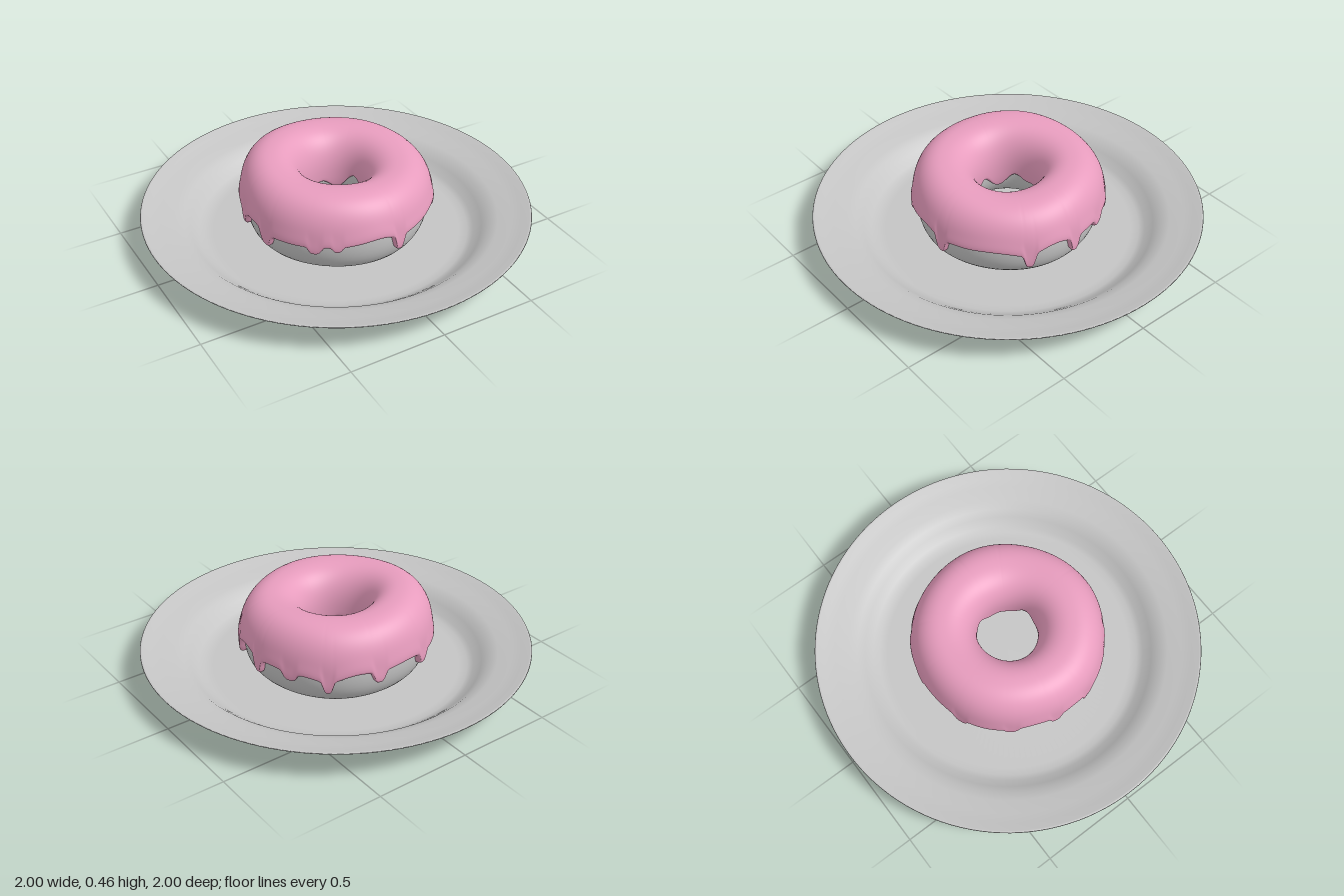
import * as THREE from 'three';

const rad = THREE.MathUtils.degToRad;
const TAU = Math.PI * 2;

// Drips around the outer edge: [angle in degrees from +x towards +z, depth, half width in degrees]
const drips = [
  [-2, 0.09, 3.2], [27, 0.09, 3.4], [81, 0.09, 3.4], [119, 0.03, 3], [132, 0.045, 4], [164, 0.085, 4],
  [-26, 0.05, 4.5], [-49, 0.075, 3.2], [-79, 0.07, 4], [-114, 0.07, 4], [-145, 0.05, 4], [-172, 0.07, 3.5],
];

// Smooth closed or open-ended grid swept around the y axis; fn(theta, row) gives a point
function sweep(columns, rows, closed, fn) {
  const pos = [], idx = [];
  for (let u = 0; u < columns; u++)
    for (let v = 0; v < rows; v++) pos.push(...fn((u / columns) * TAU, v));
  for (let u = 0; u < columns; u++)
    for (let v = 0; v < (closed ? rows : rows - 1); v++) {
      const u2 = (u + 1) % columns, v2 = (v + 1) % rows;
      const a = u * rows + v, b = u * rows + v2, c = u2 * rows + v2, d = u2 * rows + v;
      idx.push(a, b, c, a, c, d);
    }
  const geo = new THREE.BufferGeometry();
  geo.setAttribute('position', new THREE.Float32BufferAttribute(pos, 3));
  geo.setIndex(idx);
  geo.computeVertexNormals();
  return geo;
}

// Point on the uneven ring at angle theta, cross-section angle phi (0 outward, 90 up), offset off
function ringPoint(theta, phi, off) {
  const c = Math.cos(phi), s = Math.sin(phi), n = 2.35;
  const k = Math.pow(Math.abs(c) ** n + Math.abs(s) ** n, -1 / n);
  const top = 0.437 - 0.018 * Math.cos(theta - rad(45)) + 0.005 * Math.cos(3 * theta + 1);
  const halfHeight = s > 0 ? top - 0.245 : 0.2;
  const halfWidth = 0.143 + (c > 0 ? 0.003 * Math.sin(5 * theta) : 0.004 * Math.sin(3 * theta + 0.5));
  const lean = -0.012 * s * (0.5 + 0.5 * Math.cos(theta - rad(45)));
  const r = 0.325 + (halfWidth + off) * c * k + (c > 0 ? lean * c : 0);
  return [r * Math.cos(theta), 0.22 + (halfHeight + off) * s * k, r * Math.sin(theta)];
}

// Height of the icing's outer edge
function outerEdge(theta) {
  let y = 0.218 + 0.012 * Math.sin(4 * theta + 1.2) + 0.006 * Math.sin(9 * theta);
  for (const [deg, depth, width] of drips) {
    const d = Math.atan2(Math.sin(theta - rad(deg)), Math.cos(theta - rad(deg))) / rad(width);
    y -= depth * (0.78 * Math.exp(-(d ** 4)) + 0.22 * Math.exp(-d * d / 6));
  }
  return Math.max(y, 0.125);
}

// Cross-section of the icing: rounded lip, coat, rounded lip
function icingPoint(theta, row, rows, lip) {
  const thick = 0.025;
  const drop = outerEdge(theta);
  const start = Math.asin((drop - 0.22) / 0.215) + rad(5);
  const end = rad(188) + rad(7) * Math.sin(4 * theta) + rad(5) * Math.sin(7 * theta + 2);
  const last = rows - 1;
  const edge = Math.min(row, last - row);
  const k = edge < lip ? 1 - edge / lip : 0;
  const t = THREE.MathUtils.clamp((row - lip) / (last - 2 * lip), 0, 1);
  let phi = THREE.MathUtils.lerp(start, end, t);
  phi += (row < last / 2 ? -1 : 1) * rad(6) * Math.sin(k * Math.PI / 2);
  const bulge = row < last / 2 ? 0.006 * Math.exp(-((t / 0.06) ** 2)) : 0;
  return ringPoint(theta, phi, (thick + bulge) * Math.cos(k * Math.PI / 2) - 0.004 * k);
}

export function createModel() {
  const group = new THREE.Group();
  const ceramic = new THREE.MeshStandardMaterial({ color: 0xc4c4c4 });
  ceramic.name = 'lightGrey';
  const pink = new THREE.MeshStandardMaterial({ color: 0xeb9fc1 });
  pink.name = 'pinkIcing';

  const add = (name, geometry, material) => {
    const mesh = new THREE.Mesh(geometry, material);
    mesh.name = name;
    group.add(mesh);
  };

  // Plate: underside outwards, thin rim, then the upper side back to the centre
  const profile = [
    [0, 0], [0.4, 0], [0.66, 0], [0.69, 0.004], [0.72, 0.018], [0.76, 0.055], [0.795, 0.085], [0.83, 0.1],
    [0.9, 0.115], [0.95, 0.13], [0.99, 0.147], [1, 0.153], [0.998, 0.157], [0.988, 0.157],
    [0.95, 0.143], [0.9, 0.129], [0.83, 0.114], [0.785, 0.098], [0.75, 0.068], [0.71, 0.034],
    [0.68, 0.022], [0.64, 0.018], [0.4, 0.018], [0, 0.018],
  ].map(([x, y]) => new THREE.Vector2(x, y));
  add('plate', new THREE.LatheGeometry(profile, 128), ceramic);

  // Dough ring
  const doughRows = 48;
  add('dough', sweep(96, doughRows, true, (a, v) => ringPoint(a, (v / doughRows) * TAU, 0)), ceramic);

  // Icing with drips
  const rows = 60, lip = 6;
  add('icing', sweep(360, rows, false, (a, v) => icingPoint(a, v, rows, lip)), pink);

  return group;
}
